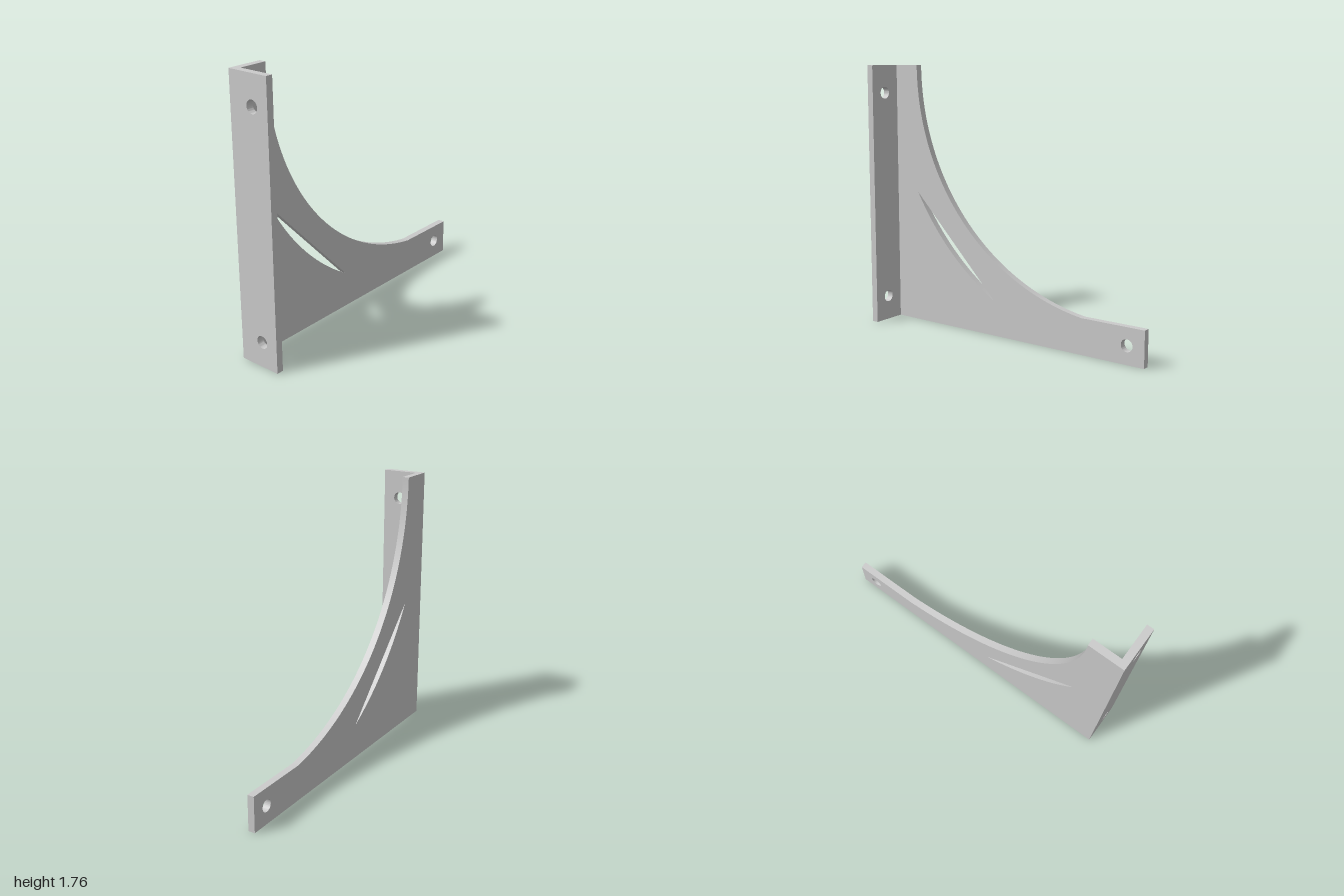
import * as THREE from 'three';
import { toCreasedNormals } from 'three/addons/utils/BufferGeometryUtils.js';

const T = 0.045;        // sheet thickness
const H = 1.765;        // overall height
const ARM = 0.235;      // height of the bottom arm
const POST = -0.77;     // inner edge of the upright
const BACK = -0.14;     // rear face
const C = { x: 0.775, y: H }; // shared centre of both arcs

function roundHole(x, y, r = 0.04) {
  return new THREE.Path().absarc(x, y, r, 0, Math.PI * 2, true);
}

// Point-to-point arc angles around the shared centre
function angleAtX(x, r) {
  return Math.PI + Math.acos((C.x - x) / r);
}
function angleAtY(y, r) {
  return Math.PI + Math.asin((C.y - y) / r);
}

function extrude(shape) {
  return new THREE.ExtrudeGeometry(shape, { depth: T, bevelEnabled: false, curveSegments: 40 });
}

export function createModel() {
  const group = new THREE.Group();
  const material = new THREE.MeshStandardMaterial({ color: 0xcccccc });

  const addPart = (name, geometry) => {
    const mesh = new THREE.Mesh(toCreasedNormals(geometry, Math.PI / 7), material);
    mesh.name = name;
    group.add(mesh);
  };

  // Bracket plate with concave outer curve
  const R = C.x - POST;
  const plate = new THREE.Shape();
  plate.moveTo(-1 + T, 0);
  plate.lineTo(1, 0);
  plate.lineTo(1, ARM);
  plate.absarc(C.x, C.y, R, angleAtY(ARM, R), Math.PI, true);
  plate.lineTo(-1 + T, H);
  plate.closePath();

  // Curved triangular window
  const r = 1.77;
  const cutout = new THREE.Path();
  cutout.moveTo(POST, ARM);
  cutout.absarc(C.x, C.y, r, angleAtX(POST, r), angleAtY(ARM, r), false);
  cutout.closePath();
  plate.holes.push(cutout, roundHole(0.88, 0.12));
  addPart('bracketPlate', extrude(plate).translate(0, 0, BACK));

  // Wall flange along the upright, drawn in z/y and turned to face sideways
  const flange = new THREE.Shape();
  flange.moveTo(BACK, 0);
  flange.lineTo(-BACK, 0);
  flange.lineTo(-BACK, H);
  flange.lineTo(BACK, H);
  flange.closePath();
  for (const y of [0.165, 1.58]) flange.holes.push(roundHole(0.025, y));
  addPart('wallFlange', extrude(flange).rotateY(-Math.PI / 2).translate(-1 + T, 0, 0));

  return group;
}
